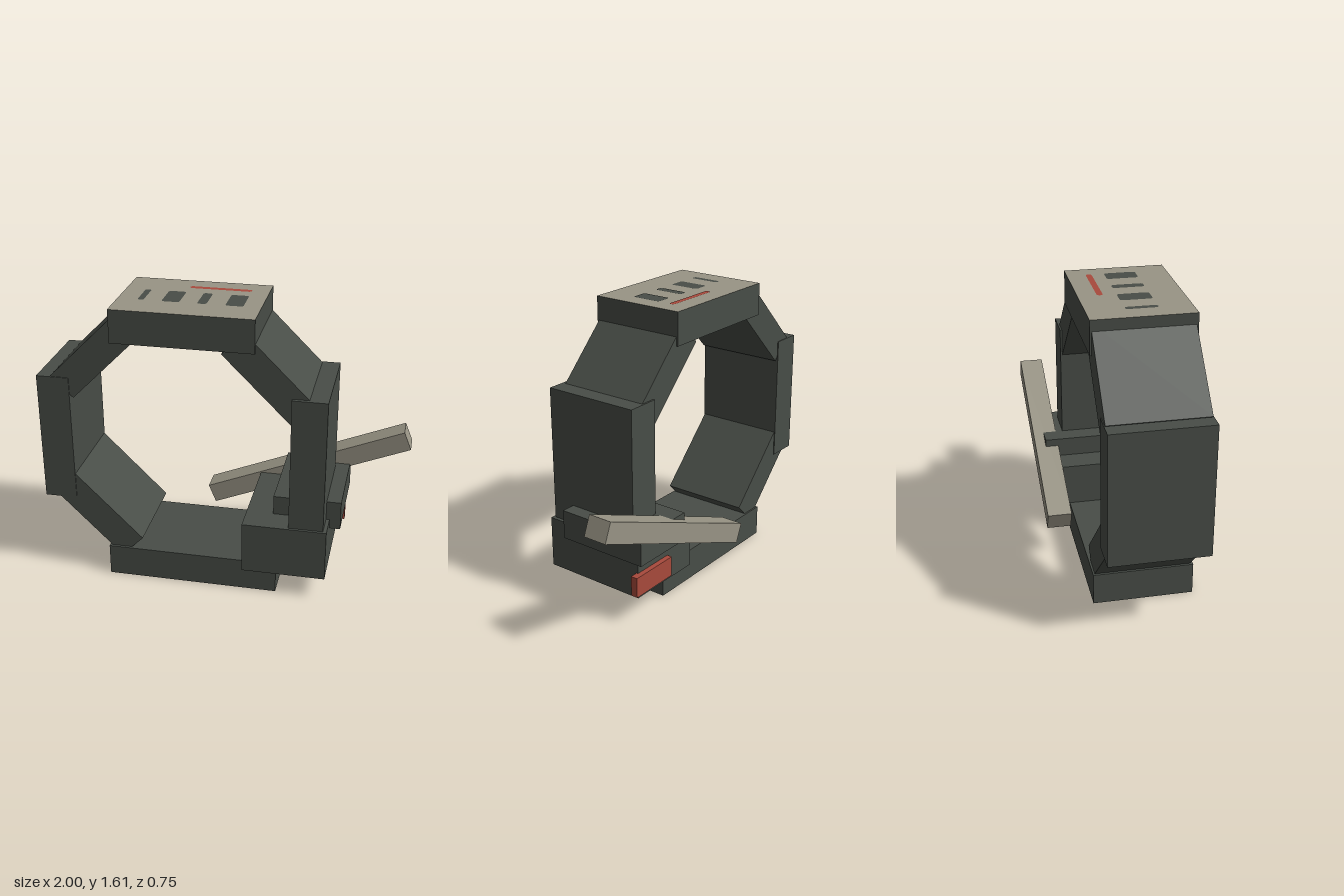
import * as THREE from 'three';

const mat = (name, color) => {
  const m = new THREE.MeshStandardMaterial({ color });
  m.name = name;
  return m;
};

export function createModel() {
  const dark = mat('dark green grey', 0x484d47);
  const beige = mat('warm grey', 0x989485);
  const red = mat('dull red', 0xa84a3c);
  const model = new THREE.Group();
  model.name = 'wristDevice';

  const add = (name, geometry, material) => {
    const mesh = new THREE.Mesh(geometry, material);
    mesh.name = name;
    model.add(mesh);
    return mesh;
  };

  // Box given by its limits along each axis
  const block = (name, [x0, x1], [y0, y1], [z0, z1], material = dark) => {
    const mesh = add(name, new THREE.BoxGeometry(x1 - x0, y1 - y0, z1 - z0), material);
    mesh.position.set((x0 + x1) / 2, (y0 + y1) / 2, (z0 + z1) / 2);
    return mesh;
  };

  // Box tilted in the front plane
  const tilted = (name, x, y, length, thickness, angle, [z0, z1], material = dark) => {
    const mesh = add(name, new THREE.BoxGeometry(length, thickness, z1 - z0), material);
    mesh.position.set(x, y, (z0 + z1) / 2);
    mesh.rotation.z = angle;
    return mesh;
  };

  // Band: straight segments; the top one carries the pale display face
  block('topSegment', [-0.58, 0.19], [1.42, 1.605], [-0.2, 0.345], [dark, dark, beige, dark, dark, dark]);
  block('rightBandSegment', [-1, -0.82], [0.47, 1.2], [-0.195, 0.34]);
  block('leftBandSegment', [0.385, 0.575], [0.4, 1.185], [-0.2, 0.355]);
  block('bottomSegment', [-0.64, 0.32], [0, 0.18], [-0.2, 0.35]);

  // Band: diagonal segments
  const depth = [-0.19, 0.335];
  tilted('upperRightSegment', -0.672, 1.333, 0.53, 0.17, Math.PI / 4, depth);
  tilted('lowerRightSegment', -0.7, 0.376, 0.545, 0.173, -Math.PI / 4, depth);
  tilted('upperLeftSegment', 0.264, 1.274, 0.537, 0.173, -Math.PI / 4, depth);

  // Clasp with its lever and button
  block('claspHousing', [0.13, 0.595], [0.13, 0.425], [-0.245, 0.37]);
  block('leverMount', [0.28, 0.655], [0.37, 0.535], [-0.315, 0.22]);
  tilted('lever', 0.404, 0.482, 1.238, 0.113, 0.389, [-0.375, -0.24], beige);
  block('button', [0.34, 0.64], [0.165, 0.28], [-0.275, -0.235], red);

  // Rounded flat marks on the display face
  const mark = (name, [x0, x1], [z0, z1], material) => {
    const w = (x1 - x0) / 2, h = (z1 - z0) / 2, r = Math.min(w, h, 0.015);
    const s = new THREE.Shape();
    s.absarc(w - r, h - r, r, 0, Math.PI / 2);
    s.absarc(r - w, h - r, r, Math.PI / 2, Math.PI);
    s.absarc(r - w, r - h, r, Math.PI, Math.PI * 1.5);
    s.absarc(w - r, r - h, r, Math.PI * 1.5, Math.PI * 2);
    const mesh = add(name, new THREE.ShapeGeometry(s, 4), material);
    mesh.rotation.x = -Math.PI / 2;
    mesh.position.set((x0 + x1) / 2, 1.607, (z0 + z1) / 2);
  };
  const slots = [[-0.47, -0.437], [-0.34, -0.245], [-0.15, -0.1], [0, 0.095]];
  slots.forEach((span, i) => mark('displaySlot' + (i + 1), span, [0, 0.17], dark));
  mark('displayStripe', [-0.245, 0.095], [-0.1, -0.068], red);

  return model;
}
